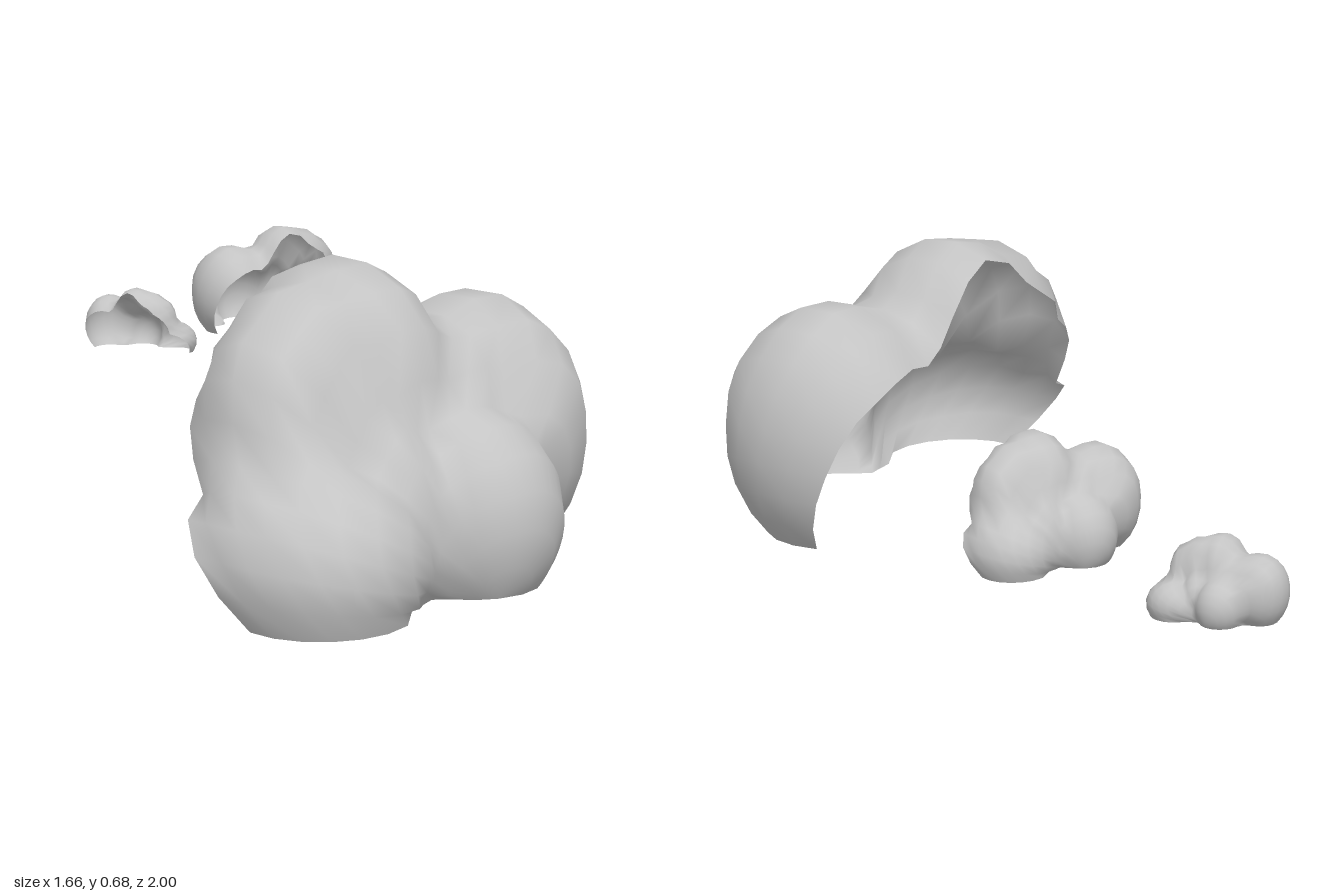
import * as THREE from 'three';
import { mergeVertices } from 'three/addons/utils/BufferGeometryUtils.js';

// Puffs of one cloud: centre x, y, z and radii x, y, z
const PUFFS = [
  [-0.22, 0.10, 0.52, 0.40, 0.42, 0.31], // core
  [-0.60, 0.11, 0.76, 0.23, 0.20, 0.215], // low front puff
  [-0.65, 0.10, 0.63, 0.18, 0.20, 0.17], // low end puff
  [-0.40, 0.15, 0.70, 0.15, 0.25, 0.19], // filler between the front puffs
  [-0.18, 0.145, 0.78, 0.21, 0.235, 0.22], // middle front puff
  [0.09, 0.25, 0.57, 0.245, 0.32, 0.275], // tall end puff
  [0.10, 0.30, 0.60, 0.22, 0.24, 0.24], // tall end front
  [-0.55, 0.32, 0.56, 0.155, 0.27, 0.18], // shoulder
  [-0.43, 0.38, 0.53, 0.17, 0.27, 0.22], // upper shoulder
  [-0.27, 0.40, 0.50, 0.20, 0.28, 0.27], // crown
  [-0.10, 0.30, 0.56, 0.18, 0.25, 0.25], // lower crown
];
const CENTRE = [-0.25, 0, 0.5];

// Backward lean of the open rim, from the tall end over the crown to the low end
const RIM = [0, -0.16, -0.29, -0.27, -0.2, -0.27, -0.16, 0.04, 0.4];

function rimAngle(u) {
  const s = u * (RIM.length - 1), k = Math.min(Math.floor(s), RIM.length - 2);
  return THREE.MathUtils.lerp(RIM[k], RIM[k + 1], s - k);
}

// Distance from the cloud centre to the farthest puff surface along a direction
function reach(d) {
  let far = 0;
  for (const p of PUFFS) {
    let a = 0, b = 0, c = -1;
    for (let k = 0; k < 3; k++) {
      const r2 = p[k + 3] ** 2, o = CENTRE[k] - p[k];
      a += d[k] * d[k] / r2;
      b += d[k] * o / r2;
      c += o * o / r2;
    }
    const disc = b * b - a * c;
    if (disc >= 0) far = Math.max(far, (-b + Math.sqrt(disc)) / a);
  }
  return far;
}

// Quarter shell, open at the bottom and behind, swept from the back rim to the front
function cloudShell() {
  const nT = 26, nP = 12, pos = [], index = [];
  for (let i = 0; i <= nT; i++) {
    const t = Math.PI * i / nT;
    const start = rimAngle(i / nT);
    for (let j = 0; j <= nP; j++) {
      const p = start + (Math.PI / 2 - start) * j / nP;
      const d = [Math.cos(t) * Math.cos(p), Math.sin(t) * Math.cos(p), Math.sin(p)];
      const r = reach(d);
      pos.push(...d.map((v, k) => CENTRE[k] + v * r));
      if (i < nT && j < nP) {
        const a = i * (nP + 1) + j, b = a + nP + 1;
        index.push(a, b, b + 1);
        if (j < nP - 1) index.push(a, b + 1, a + 1);
      }
    }
  }
  const g = new THREE.BufferGeometry();
  g.setAttribute('position', new THREE.Float32BufferAttribute(pos, 3));
  g.setIndex(index);
  const merged = mergeVertices(g, 1e-5);
  merged.computeVertexNormals();
  return merged;
}

export function createModel() {
  const group = new THREE.Group();
  const cloudGrey = new THREE.MeshStandardMaterial({ color: 0xc4c4c4, side: THREE.DoubleSide });
  cloudGrey.name = 'cloudGrey';
  const shell = cloudShell();

  // The same shell at three sizes, each turned its own way
  const clouds = [
    ['largeCloud', 1, 0, [0, 0, 0]],
    ['mediumCloud', 0.384, Math.PI - 0.25, [0.453, 0.277, -0.307]],
    ['smallCloud', 0.25, Math.PI / 2 + 0.25, [0.314, 0.18, -0.881]],
  ];
  for (const [name, size, turn, at] of clouds) {
    const cloud = new THREE.Mesh(shell, cloudGrey);
    cloud.name = name;
    cloud.scale.setScalar(size);
    cloud.rotation.y = turn;
    cloud.position.set(...at);
    group.add(cloud);
  }
  return group;
}
